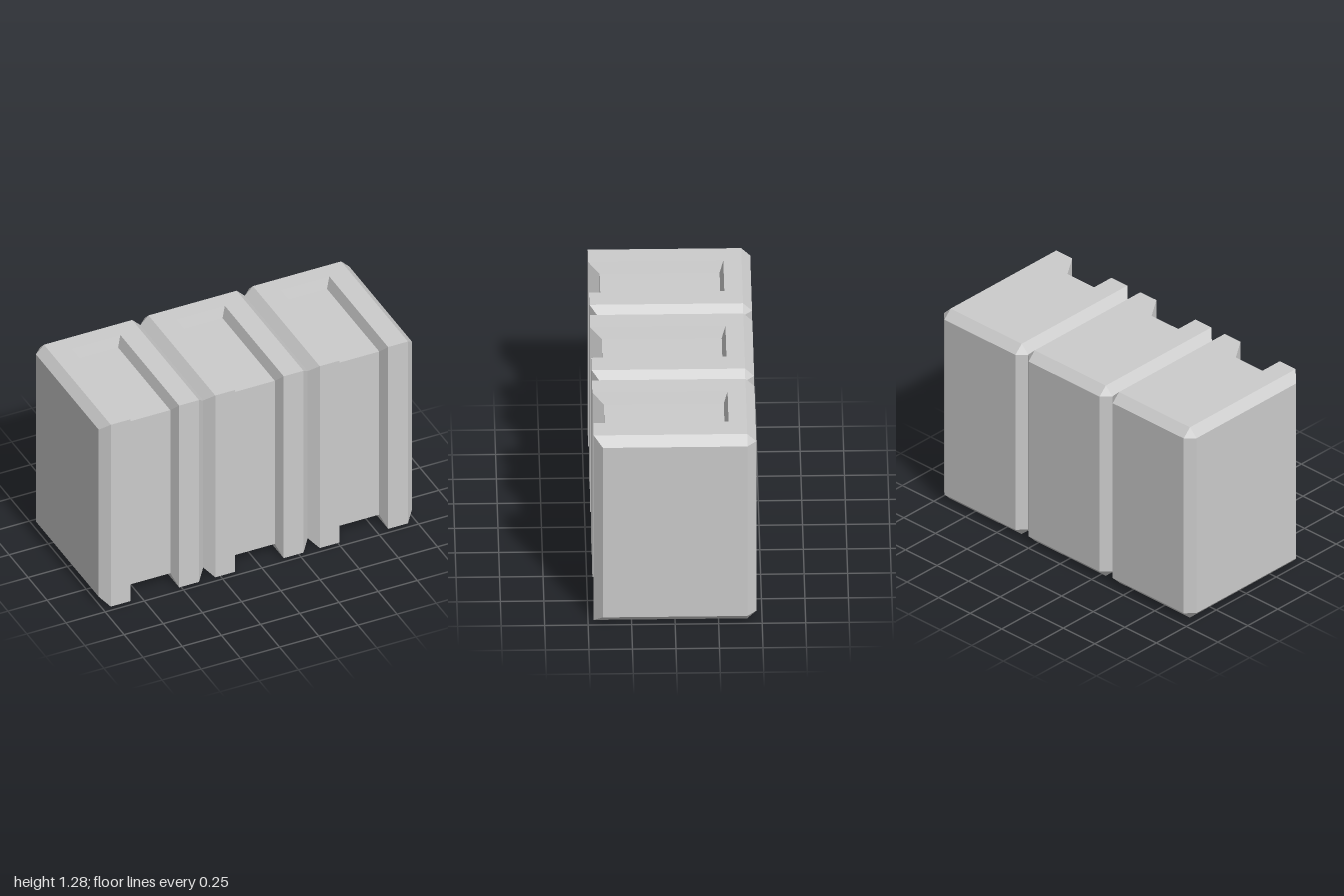
import * as THREE from 'three';

const W = 1 / 3, H = 0.641, D = 0.467; // half sizes of one block
const C = 0.052;                       // chamfer
const GROOVE = { outer: 0.155, inner: 0.13, depth: 0.066, back: -0.31, floorBack: -0.288 };

// Upper half of a cross-section as [y, z] from front to back, mirrored to the lower half
function ring(x, upper) {
  const lower = upper.map(([y, z]) => [-y, z]).reverse();
  return [...upper, ...lower].map(([y, z]) => new THREE.Vector3(x, y + H, z));
}

// Block lofted along x: chamfered side, body, groove edge, groove floor, then mirrored
function blockGeometry() {
  const g = GROOVE, h = H - C, d = D - C;
  const side = [[h, d], [h, g.back], [h, g.back], [h, -d], [h, -d]];
  const body = [[H, D], [H, g.back], [H, g.back], [H, -d], [h, -D]];
  const floor = [[H - g.depth, D - g.depth], [H - g.depth, g.floorBack], [H, g.back], [H, -d], [h, -D]];
  const half = [[W, side], [W - C, body], [g.outer, body], [g.inner, floor]];
  const rings = [
    ...half.map(([x, s]) => ring(x, s)),
    ...half.reverse().map(([x, s]) => ring(-x, s)),
  ];

  const points = [];
  const triangle = (a, b, c) => {
    const area = b.clone().sub(a).cross(c.clone().sub(a)).length();
    if (area > 1e-7) points.push(a, b, c);
  };
  const n = rings[0].length;
  for (let i = 0; i < rings.length - 1; i++) {
    for (let j = 0; j < n; j++) {
      const k = (j + 1) % n;
      const a = rings[i][j], b = rings[i][k], c = rings[i + 1][k], e = rings[i + 1][j];
      triangle(a, b, c);
      triangle(a, c, e);
    }
  }
  // Flat side faces
  const first = rings[0], last = rings[rings.length - 1];
  for (let j = 1; j < n - 1; j++) {
    triangle(first[0], first[j + 1], first[j]);
    triangle(last[0], last[j], last[j + 1]);
  }
  const geometry = new THREE.BufferGeometry().setFromPoints(points);
  geometry.computeVertexNormals();
  return geometry;
}

export function createModel() {
  const group = new THREE.Group();
  group.name = 'groovedBlocks';
  const material = new THREE.MeshStandardMaterial({ color: 0xcccccc, flatShading: true });
  const geometry = blockGeometry();
  // Three identical blocks side by side
  ['rightBlock', 'middleBlock', 'leftBlock'].forEach((name, i) => {
    const block = new THREE.Mesh(geometry, material);
    block.name = name;
    block.position.x = (i - 1) * 2 * W;
    group.add(block);
  });
  return group;
}
